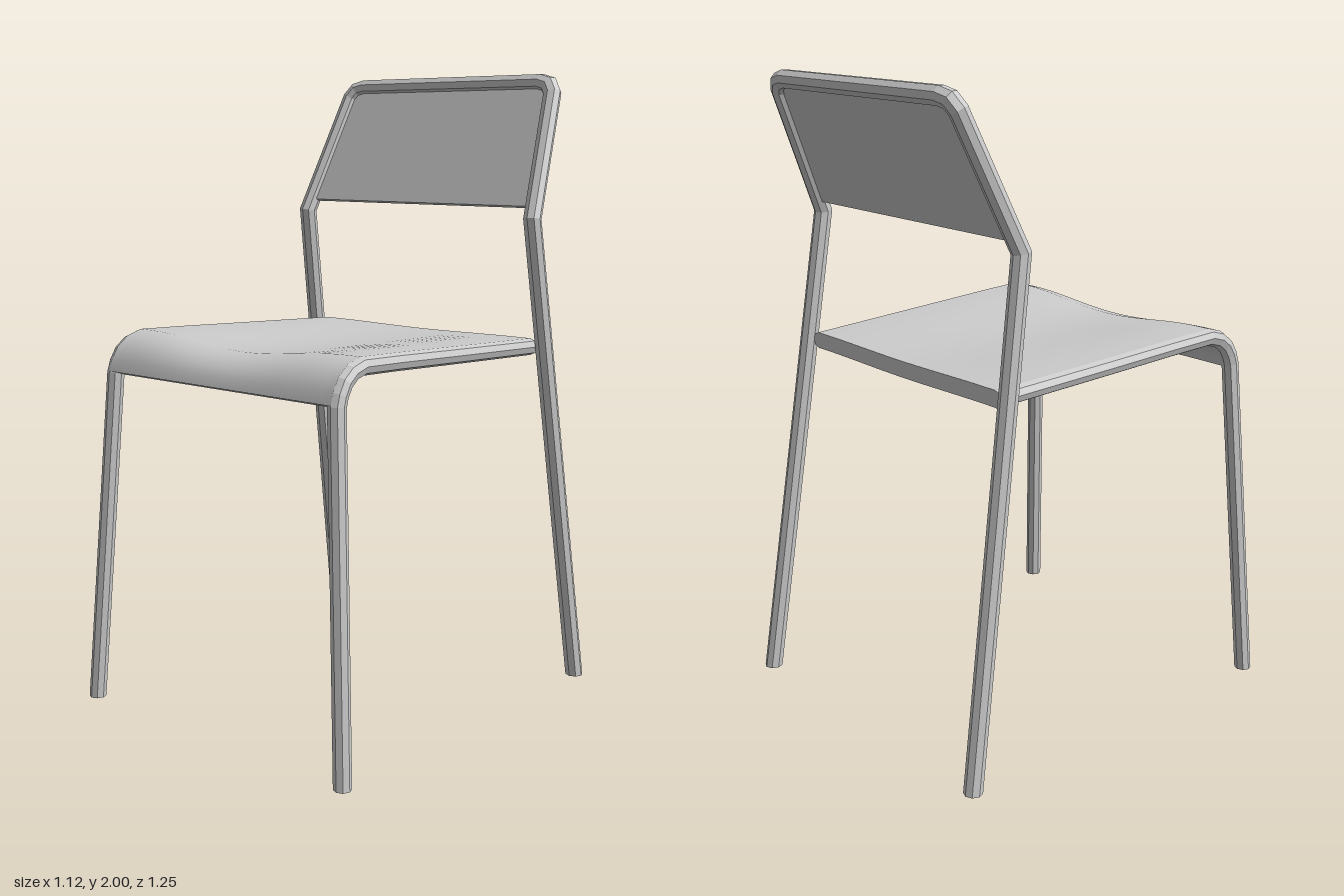
import * as THREE from 'three';
import { toCreasedNormals } from 'three/addons/utils/BufferGeometryUtils.js';

const V = (x, y, z) => new THREE.Vector3(x, y, z);

// Skin a row of closed loops, optionally capping both ends
function loft(loops, caps) {
  const n = loops[0].length, last = (loops.length - 1) * n, idx = [];
  for (let i = 0; i < loops.length - 1; i++) {
    for (let j = 0; j < n; j++) {
      const k = (j + 1) % n;
      const a = i * n + j, b = i * n + k, c = b + n, d = a + n;
      idx.push(a, b, d, b, c, d);
    }
  }
  if (caps) {
    for (let j = 1; j < n - 1; j++) idx.push(0, j + 1, j, last, last + j, last + j + 1);
  }
  const geo = new THREE.BufferGeometry().setFromPoints(loops.flat());
  geo.setIndex(idx);
  geo.computeVertexNormals();
  return geo;
}

// Eight-sided mitred tube that starts flat on the floor
function tube(path, radius, endNormal) {
  const dirs = path.slice(1).map((p, i) => p.clone().sub(path[i]).normalize());
  let ring = [];
  for (let j = 0; j < 8; j++) {
    const a = j * Math.PI / 4;
    ring.push(V(Math.sin(a) * radius, 0, Math.cos(a) * radius).add(path[0]));
  }
  const loops = [ring];
  dirs.forEach((d, i) => {
    const end = path[i + 1];
    const normal = dirs[i + 1] ? d.clone().add(dirs[i + 1]) : endNormal || d;
    // slide the ring along the segment onto the mitre plane
    ring = ring.map(p => p.clone().addScaledVector(d, end.clone().sub(p).dot(normal) / d.dot(normal)));
    loops.push(ring);
  });
  return loft(loops, true);
}

export function createModel() {
  const group = new THREE.Group();
  const flat = new THREE.MeshStandardMaterial({ color: 0xcccccc, flatShading: true });
  const smooth = new THREE.MeshStandardMaterial({ color: 0xcccccc, side: THREE.DoubleSide });
  const add = (name, geo, mat) => {
    const mesh = new THREE.Mesh(geo, mat);
    mesh.name = name;
    group.add(mesh);
    return mesh;
  };

  // Back legs, posts and top bar in one bent tube
  const half = [
    V(0.531, 0, -0.595), V(0.476, 1.545, -0.365), V(0.425, 1.935, -0.539),
    V(0.405, 1.962, -0.55), V(0.37, 1.971, -0.555),
  ];
  const mirrored = half.map(p => V(-p.x, p.y, p.z)).reverse();
  add('backFrame', tube([...half, ...mirrored], 0.029, V(0, 1, 0)), flat);

  // Seat side profile from front lip to back: x, y, z, share of the dip
  const profile = [
    [0.463, 1.068, 0.545, 0], [0.462, 1.1, 0.535, 0.2], [0.461, 1.133, 0.515, 0.55],
    [0.46, 1.157, 0.484, 0.85], [0.459, 1.17, 0.44, 1], [0.455, 1.164, 0.28, 0.9],
    [0.449, 1.151, 0, 0.6], [0.438, 1.132, -0.425, 0.15],
  ];

  // Front legs bending back into the seat rails
  for (const s of [1, -1]) {
    const path = [V(s * 0.531, 0, 0.599), ...profile.map(([x, y, z]) => V(s * x, y, z))];
    add(s > 0 ? 'leftFrontLegAndRail' : 'rightFrontLegAndRail', tube(path, 0.027), flat);
  }

  // Seat shell between the rails, dipped in the middle and rolled over at the front
  const top = [], bottom = [];
  profile.forEach(([x, y, z, w], i) => {
    const p = profile[Math.max(i - 1, 0)], q = profile[Math.min(i + 1, profile.length - 1)];
    const dy = q[1] - p[1], dz = q[2] - p[2], len = Math.hypot(dy, dz);
    const ny = -dz / len, nz = dy / len;
    top.unshift([x, y + ny * 0.027, z + nz * 0.027, w]);
    bottom.push([x, y - ny * 0.025, z - nz * 0.025, w]);
  });
  const columns = [];
  for (let i = 0; i <= 24; i++) {
    const u = i / 12 - 1;
    const dip = 0.03 * Math.cos(Math.min(1, Math.abs(u) * 1.1) * Math.PI / 2) ** 2;
    columns.push([...top, ...bottom].map(([x, y, z, w]) => V(u * x, y - dip * w, z)));
  }
  add('seat', toCreasedNormals(loft(columns, false), 0.8), smooth);

  // Thin backrest panel leaning with the posts
  const outline = new THREE.Shape([
    [-0.468, 0], [0.468, 0], [0.422, 0.392], [0.375, 0.426], [-0.375, 0.426], [-0.422, 0.392],
  ].map(([x, y]) => new THREE.Vector2(x, y)));
  const panel = new THREE.ExtrudeGeometry(outline, { depth: 0.016, bevelEnabled: false });
  panel.translate(0, 0, -0.008);
  const backrest = add('backrestPanel', panel, flat);
  backrest.position.set(0, 1.58, -0.381);
  backrest.rotation.x = -Math.atan(0.445);

  return group;
}
